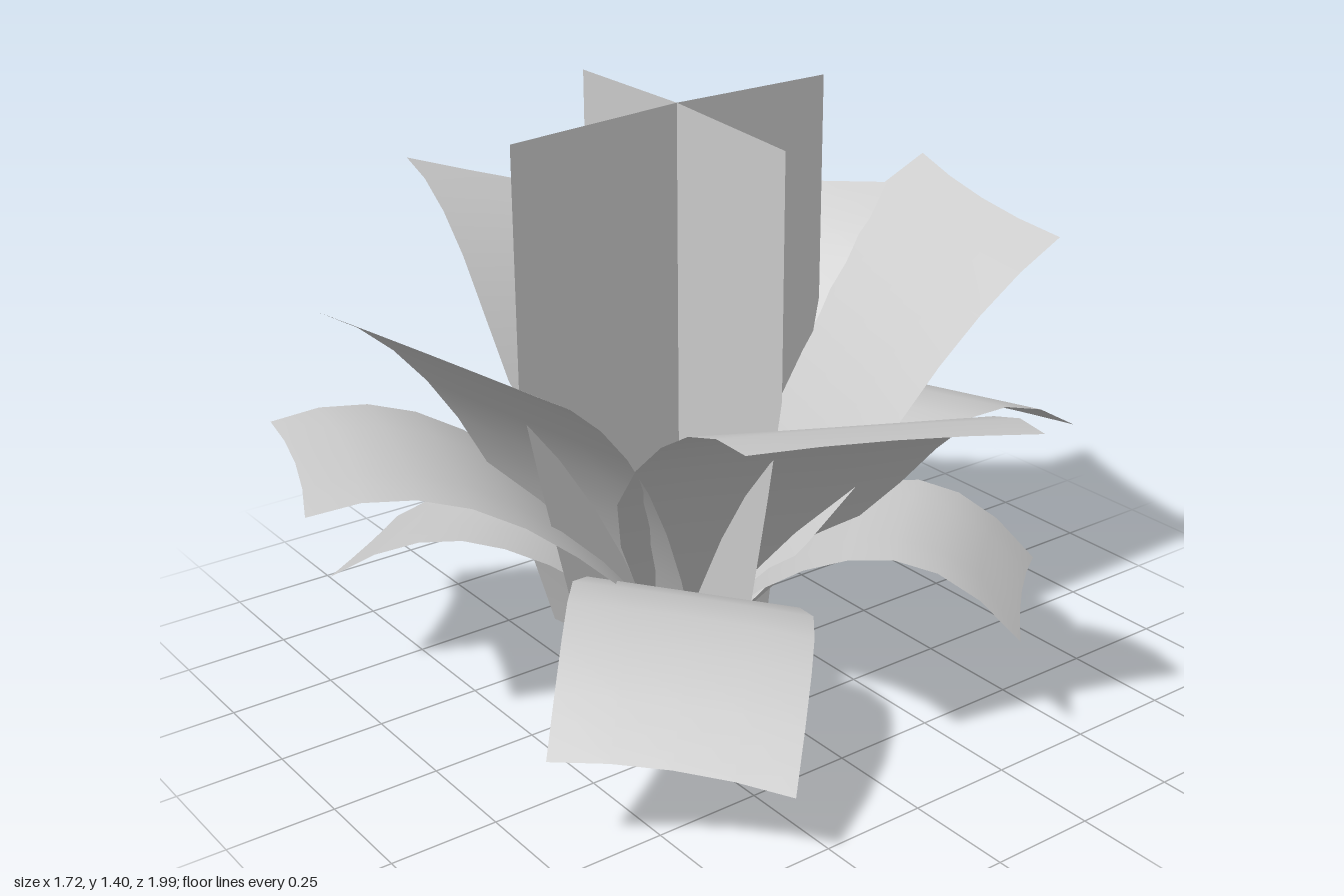
import * as THREE from 'three';

const material = new THREE.MeshStandardMaterial({ color: 0xcccccc, side: THREE.DoubleSide });
const V = (p) => new THREE.Vector3(...p);
const ROOT = [-0.03, 0.06, 0.05];

// A leaf is a strip swept from its root along an arched midrib to the tip edge a-b.
// It opens from baseWidth to its full width and bulges a little midway.
function leaf(name, a, b, bend, { root = ROOT, baseWidth = 0.1, opensAt = 0.45, bulge = 0.05 } = {}) {
  const A = V(a), B = V(b);
  const tip = A.clone().add(B).multiplyScalar(0.5);
  const across = B.clone().sub(A);
  const full = across.length();
  across.normalize();
  const rib = new THREE.QuadraticBezierCurve3(V(root), V(bend), tip);
  const rows = 8, cols = 4, pos = [], index = [];
  for (let i = 0; i <= rows; i++) {
    const t = i / rows;
    const open = Math.sin(Math.min(1, t / opensAt) * Math.PI / 2);
    const width = (baseWidth + (full - baseWidth) * open) * (1 + bulge * Math.sin(Math.PI * t));
    const centre = rib.getPoint(t), along = rib.getTangent(t);
    for (let j = 0; j <= cols; j++) {
      const s = j / cols - 0.5;
      const notch = -0.02 * t * (1 - 4 * s * s);
      const p = centre.clone().addScaledVector(across, s * width).addScaledVector(along, notch);
      pos.push(p.x, p.y, p.z);
      if (i < rows && j < cols) {
        const k = i * (cols + 1) + j, n = k + cols + 1;
        index.push(k, k + 1, n, k + 1, n + 1, n);
      }
    }
  }
  const geometry = new THREE.BufferGeometry();
  geometry.setAttribute('position', new THREE.Float32BufferAttribute(pos, 3));
  geometry.setIndex(index);
  geometry.computeVertexNormals();
  const mesh = new THREE.Mesh(geometry, material);
  mesh.name = name;
  return mesh;
}

// Upright flat card, narrower towards the bottom.
function card(name, angle, width) {
  const half = [[0.32, 0.05], [0.36, 0.3], [0.44, 0.6], [0.5, 0.85], [0.5, 1.39]];
  const outline = [...half, [0, 1.4], ...half.map(([x, y]) => [-x, y]).reverse()];
  const shape = new THREE.Shape(outline.map(([x, y]) => new THREE.Vector2(x * width, y)));
  const mesh = new THREE.Mesh(new THREE.ShapeGeometry(shape), material);
  mesh.position.set(-0.027, 0, 0.061);
  mesh.rotation.y = angle;
  mesh.name = name;
  return mesh;
}

export function createModel() {
  const plant = new THREE.Group();
  plant.name = 'plant';

  // Crossed cards in the middle
  plant.add(
    card('centreCardFront', -0.09, 0.84),
    card('centreCardSide', -Math.PI / 2 + 0.1, 0.905),
  );

  // Tall upper leaves
  plant.add(
    leaf('upperLeafFront', [-0.11, 1.08, 0.9], [0.43, 1.03, 0.73], [-0.02, 0.81, 0.37],
      { root: [-0.16, 0.022, 0.125], baseWidth: 0.45, opensAt: 1, bulge: 0.01 }),
    leaf('upperLeafLeft', [0.86, 0.86, -0.2], [0.71, 0.93, 0.445], [0.36, 0.92, 0.02], { bulge: 0.08 }),
    leaf('upperLeafBack', [-0.16, 1.12, -0.79], [0.4, 1.06, -0.7], [0.06, 0.87, -0.3]),
    leaf('upperLeafBackRight', [-0.6, 1.1, -0.23], [-0.17, 1.06, -0.69], [-0.16, 0.84, -0.17]),
    leaf('upperLeafRight', [-0.86, 0.92, -0.37], [-0.86, 1.13, 0.27], [-0.38, 0.98, 0]),
  );

  // Spreading middle leaves
  plant.add(
    leaf('middleLeafFront', [-0.67, 0.62, 0.77], [-0.05, 0.67, 0.99], [-0.18, 0.79, 0.46]),
    leaf('middleLeafBack', [-0.45, 0.36, -0.99], [0.21, 0.46, -1.0], [-0.1, 0.79, -0.45]),
  );

  // Drooping lower leaves
  const low = { opensAt: 0.55 };
  plant.add(
    leaf('lowerLeafBackLeft', [0.735, 0.3, -0.3], [0.41, 0.265, -0.67], [0.3, 0.72, -0.25], low),
    leaf('lowerLeafFrontLeft', [0.78, 0.185, 0.365], [0.46, 0.255, 0.75], [0.3, 0.66, 0.22], low),
    leaf('lowerLeafFrontRight', [-0.76, 0.24, 0.41], [-0.45, 0.3, 0.755], [-0.3, 0.58, 0.25], low),
    leaf('lowerLeafBackRight', [-0.625, 0.145, -0.57], [-0.18, 0.09, -0.78], [-0.2, 0.64, -0.3], low),
  );
  return plant;
}
